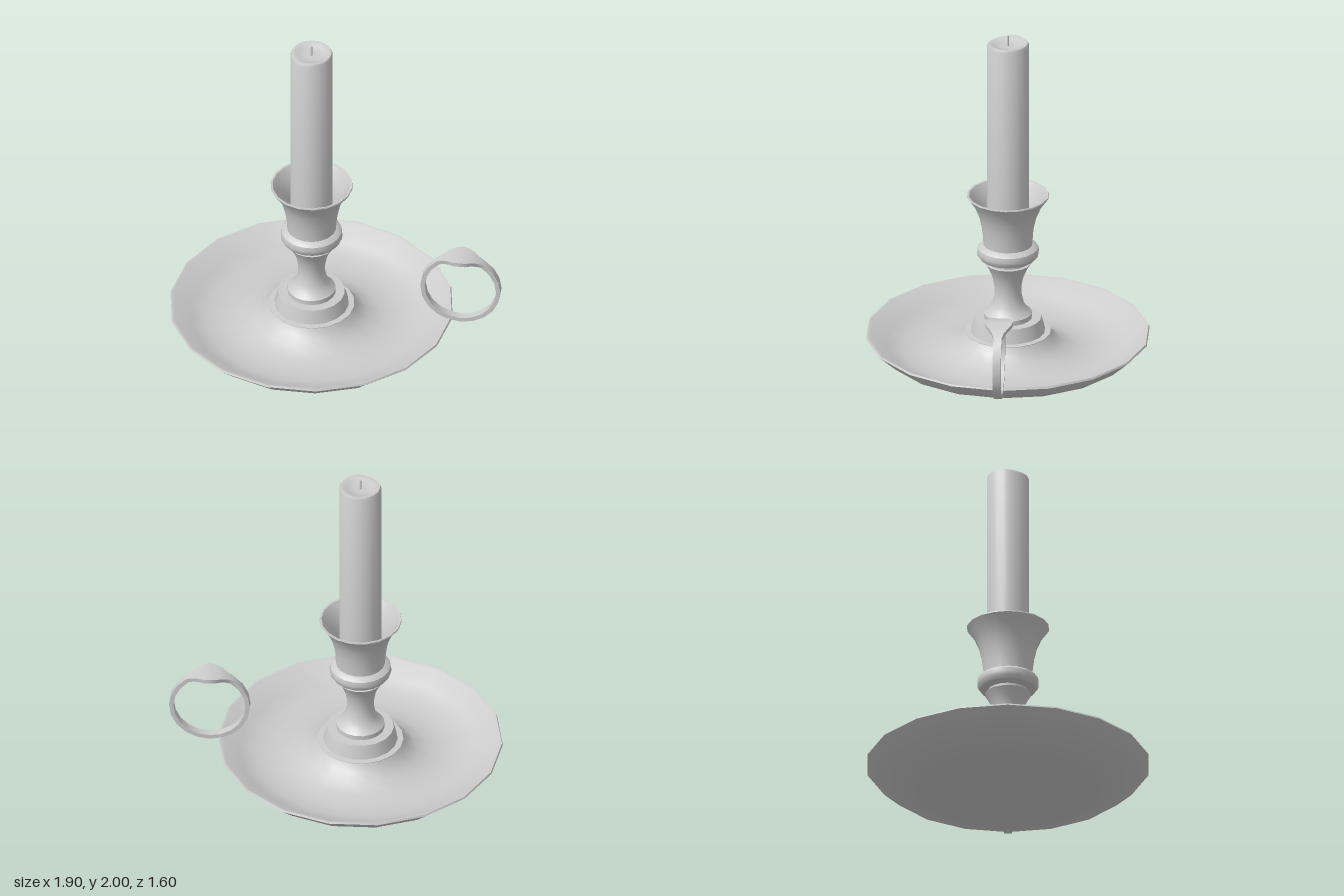
import * as THREE from 'three';
import { toCreasedNormals } from 'three/addons/utils/BufferGeometryUtils.js';

const material = new THREE.MeshStandardMaterial({ color: 0xcccccc });
const AXIS = -0.14; // x of the candle axis
const SIDES = 18;

function addMesh(group, name, geometry, x = 0) {
  const mesh = new THREE.Mesh(toCreasedNormals(geometry, 0.6), material);
  mesh.name = name;
  mesh.position.x = x;
  group.add(mesh);
  return mesh;
}

// Turned part from [radius, height] pairs, with a corner on the +x side
function turned(profile, sides = SIDES) {
  const points = profile.map(([r, y]) => new THREE.Vector2(r, y));
  return new THREE.LatheGeometry(points, sides, Math.PI / 2);
}

// Ring band of rectangular section that widens into a thumb rest at the top
function ringBand(outer, inner) {
  const sides = 20, steps = sides * 2;
  const positions = [], indices = [];
  for (let i = 0; i < steps; i++) {
    const a = (i / steps) * Math.PI * 2; // measured from the top
    const flat = i % 2 ? Math.cos(Math.PI / sides) : 1; // stay on straight sides
    const fromTop = Math.min(a, Math.PI * 2 - a) / 0.6;
    const w = 0.023 + (fromTop < 1 ? 0.057 * Math.cos(fromTop * Math.PI / 2) ** 1.5 : 0);
    for (const [r, z] of [[outer, w], [outer, -w], [inner, -w], [inner, w]]) {
      positions.push(Math.sin(a) * r * flat, Math.cos(a) * r * flat, z);
    }
    const next = (i + 1) % steps;
    for (let k = 0; k < 4; k++) {
      const l = (k + 1) % 4;
      const p = i * 4 + k, q = i * 4 + l, s = next * 4 + l, t = next * 4 + k;
      indices.push(p, t, q, t, s, q);
    }
  }
  const geometry = new THREE.BufferGeometry();
  geometry.setAttribute('position', new THREE.Float32BufferAttribute(positions, 3));
  geometry.setIndex(indices);
  return geometry;
}

export function createModel() {
  const group = new THREE.Group();
  group.name = 'candlestick';

  // Shallow drip dish, its floor swelling up to the stem
  addMesh(group, 'dish', turned([
    [0, 0], [0.53, 0], [0.71, 0.06], [0.81, 0.15], [0.805, 0.16], [0.79, 0.157],
    [0.69, 0.085], [0.6, 0.055], [0.5, 0.045], [0.4, 0.055], [0.32, 0.085],
    [0.27, 0.125], [0.245, 0.165], [0, 0.165],
  ]), AXIS);

  // Stepped foot and waisted stem
  addMesh(group, 'stem', turned([
    [0, 0.15], [0.245, 0.15], [0.245, 0.168], [0.212, 0.17], [0.205, 0.2], [0.19, 0.252],
    [0.137, 0.252], [0.137, 0.28], [0.11, 0.305], [0.09, 0.34], [0.078, 0.39],
    [0.077, 0.44], [0.088, 0.5], [0.108, 0.55], [0.132, 0.59],
    [0.115, 0.592], [0.115, 0.63], [0, 0.63],
  ]), AXIS);

  // Flared candle cup with a rounded collar and a hollow inside
  addMesh(group, 'cup', turned([
    [0, 0.612], [0.13, 0.612], [0.16, 0.622], [0.173, 0.64], [0.177, 0.66], [0.172, 0.685],
    [0.155, 0.7], [0.14, 0.706], [0.143, 0.76], [0.151, 0.82], [0.165, 0.88],
    [0.192, 0.945], [0.235, 1.005], [0.233, 1.012], [0.222, 1.01],
    [0.18, 0.945], [0.153, 0.88], [0.139, 0.82], [0.13, 0.74], [0, 0.74],
  ]), AXIS);

  // Candle with a melted hollow and a sagging front corner
  const candle = turned([
    [0, 0.73], [0.12, 0.73], [0.12, 1.942], [0.113, 1.955], [0.1, 1.955],
    [0.08, 1.944], [0.055, 1.936], [0.025, 1.934], [0, 1.937],
  ], 24);
  const p = candle.attributes.position;
  for (let i = 0; i < p.count; i++) {
    const corner = (p.getZ(i) - p.getX(i)) / Math.SQRT2 / 0.12;
    if (p.getY(i) > 1.9 && corner > 0.5) p.setY(i, p.getY(i) - 0.025 * (corner - 0.5));
  }
  addMesh(group, 'candle', candle, AXIS);

  const wick = new THREE.CylinderGeometry(0.006, 0.006, 0.075, 8);
  addMesh(group, 'wick', wick, AXIS).position.y = 1.9625;

  // Finger ring standing on the dish rim
  addMesh(group, 'fingerRing', ringBand(0.23, 0.205), 0.717).position.y = 0.373;

  return group;
}
